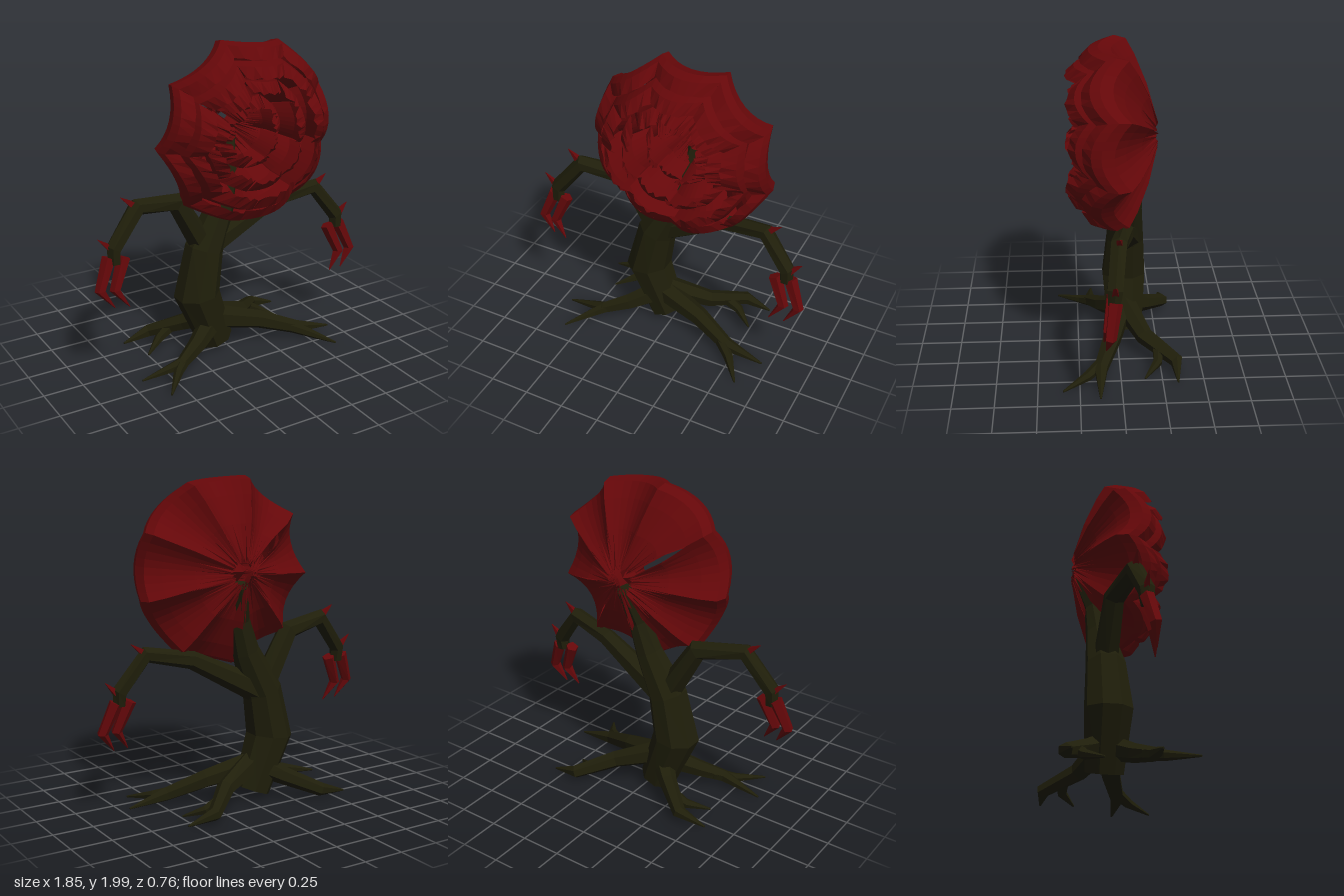
import * as THREE from 'three';

const V = (a) => new THREE.Vector3(...a);

// Faceted limb: points are [x, y, z, radius]; rings joined and capped
function limbGeometry(points, sides = 6) {
  const pos = [], index = [];
  const centres = points.map((p) => V(p));
  const last = points.length - 1;
  centres.forEach((c, i) => {
    const t = centres[Math.min(i + 1, last)].clone().sub(centres[Math.max(i - 1, 0)]).normalize();
    const n = new THREE.Vector3(0, 0, 1).addScaledVector(t, -t.z).normalize();
    const b = t.clone().cross(n);
    for (let s = 0; s < sides; s++) {
      const a = ((s + 0.5) / sides) * Math.PI * 2, r = points[i][3];
      const p = c.clone().addScaledVector(n, Math.cos(a) * r).addScaledVector(b, Math.sin(a) * r);
      pos.push(p.x, Math.max(p.y, 0), p.z);
      if (i < last) {
        const A = i * sides + s, B = i * sides + (s + 1) % sides;
        index.push(A, B, A + sides, B, B + sides, A + sides);
      }
    }
  });
  // end caps
  const start = pos.length / 3;
  pos.push(...centres[0].toArray(), ...centres[last].toArray());
  for (let s = 0; s < sides; s++) {
    const n = (s + 1) % sides;
    index.push(start, n, s, start + 1, last * sides + s, last * sides + n);
  }
  const g = new THREE.BufferGeometry();
  g.setAttribute('position', new THREE.Float32BufferAttribute(pos, 3));
  g.setIndex(index);
  g.computeVertexNormals();
  return g;
}

// One petal pointing along +y: straight across in front, sagging forward in the middle.
// "pinch" gives how far its left and right sides draw in near the base
function petalGeometry(profile, pinch, vary, seed) {
  const cols = 8, rows = profile.length - 1;
  const g = new THREE.PlaneGeometry(1, 1, cols, rows);
  const p = g.attributes.position;
  const stretch = vary * Math.sin(seed * 2.3);
  for (let j = 0; j <= rows; j++) {
    for (let i = 0; i <= cols; i++) {
      const u = (i / cols) * 2 - 1;
      let [r, z] = profile[j];
      const half = r * Math.tan(Math.PI / 9) * (1 - pinch[u < 0 ? 0 : 1] * Math.max(0, 1 - r / 0.42));
      z += 0.18 * r * (1 - u * u);
      // uneven tips and ragged base
      if (j === rows) {
        const k = stretch + vary * 0.6 * Math.sin(i * 2.4 + seed);
        r += k;
        z += k * 0.6;
      }
      if (j === 0) r += 0.02 * Math.sin(i * 2.1 + seed);
      p.setXYZ(j * (cols + 1) + i, u * half, r, z);
    }
  }
  g.computeVertexNormals();
  return g;
}

export function createModel() {
  const model = new THREE.Group();
  const bark = new THREE.MeshStandardMaterial({ color: 0x1f1e0a, flatShading: true });
  bark.name = 'dark bark';
  const red = new THREE.MeshStandardMaterial({ color: 0x640709, flatShading: true, side: THREE.DoubleSide });
  red.name = 'deep red';

  const add = (parent, name, geometry, material) => {
    const m = new THREE.Mesh(geometry, material);
    m.name = name;
    parent.add(m);
    return m;
  };

  // Trunk
  add(model, 'trunk', limbGeometry([
    [-0.06, 0.06, -0.05, 0.115], [-0.19, 0.4, -0.047, 0.145], [-0.13, 0.69, -0.055, 0.122],
    [0.0, 0.95, -0.07, 0.085], [0.06, 1.15, -0.09, 0.066], [0.1, 1.37, -0.17, 0.055],
  ], 8), bark);

  // Roots: each has a main prong and a side prong
  const roots = {
    frontLeftRoot: [
      [[-0.08, 0.22, -0.03, 0.08], [0.22, 0.15, 0.04, 0.06], [0.45, 0.07, 0.12, 0.045], [0.7, 0.02, 0.13, 0.006]],
      [[0.38, 0.09, 0.09, 0.04], [0.5, 0.05, 0.2, 0.03], [0.61, 0.015, 0.35, 0.006]]],
    frontRightRoot: [
      [[-0.1, 0.2, -0.02, 0.075], [-0.27, 0.12, 0.09, 0.055], [-0.42, 0.07, 0.17, 0.04], [-0.68, 0.02, 0.155, 0.006]],
      [[-0.36, 0.09, 0.13, 0.04], [-0.47, 0.05, 0.22, 0.03], [-0.6, 0.015, 0.38, 0.006]]],
    backLeftRoot: [
      [[-0.05, 0.23, -0.05, 0.075], [0.2, 0.14, -0.16, 0.055], [0.39, 0.07, -0.345, 0.042], [0.56, 0.03, -0.34, 0.006]],
      [[0.28, 0.11, -0.24, 0.04], [0.38, 0.06, -0.23, 0.03], [0.49, 0.015, -0.145, 0.006]]],
    backRightRoot: [
      [[-0.09, 0.22, -0.06, 0.075], [-0.22, 0.15, -0.18, 0.055], [-0.4, 0.07, -0.32, 0.042], [-0.58, 0.03, -0.31, 0.006]],
      [[-0.29, 0.11, -0.23, 0.04], [-0.38, 0.06, -0.21, 0.03], [-0.5, 0.015, -0.12, 0.006]]],
  };
  for (const [name, prongs] of Object.entries(roots)) {
    const g = new THREE.Group();
    g.name = name;
    prongs.forEach((p, i) => add(g, i ? 'sideProng' : 'mainProng', limbGeometry(p), bark));
    model.add(g);
  }

  // Arms with thorns and two bent claws each
  const arms = [
    { name: 'rightArm',
      limb: [[-0.13, 0.7, -0.06, 0.08], [-0.33, 1.04, -0.04, 0.065], [-0.62, 1.085, 0.025, 0.055], [-0.79, 0.87, 0.055, 0.05], [-0.79, 0.78, 0.06, 0.04]],
      thorns: [[-0.64, 1.1, 0.025, -0.72, 1.16, 0.02], [-0.8, 0.87, 0.05, -0.885, 0.945, 0.05]],
      claws: [[-0.82, 0.82, 0.05, -1], [-0.73, 0.81, 0.06, -1]] },
    { name: 'leftArm',
      limb: [[-0.12, 0.68, -0.07, 0.085], [0.35, 0.925, -0.03, 0.055], [0.63, 0.98, 0.02, 0.052], [0.79, 0.77, 0.05, 0.05], [0.79, 0.69, 0.055, 0.04]],
      thorns: [[0.64, 0.99, 0.02, 0.725, 1.05, 0.02], [0.81, 0.77, 0.05, 0.88, 0.835, 0.05]],
      claws: [[0.72, 0.71, 0.06, 1], [0.815, 0.71, 0.05, 1]] },
  ];
  for (const arm of arms) {
    const g = new THREE.Group();
    g.name = arm.name;
    add(g, 'branch', limbGeometry(arm.limb), bark);
    arm.thorns.forEach((t) => add(g, 'thorn',
      limbGeometry([[t[0], t[1], t[2], 0.028], [t[3], t[4], t[5], 0.002]], 4), red));
    arm.claws.forEach(([x, y, z, s]) => add(g, 'claw', limbGeometry([
      [x, y, z, 0.042], [x + s * 0.075, y - 0.185, z + 0.03, 0.034], [x - s * 0.005, y - 0.3, z + 0.05, 0.003],
    ], 5), red));
    model.add(g);
  }

  // Flower head: four nested rings of nine cupped petals, profile points are [radius, z]
  const head = new THREE.Group();
  head.name = 'flowerHead';
  head.position.set(0.098, 1.442, 0);
  const rings = [
    { name: 'outerPetal', turn: 0, vary: 0.008,
      profile: [[0.08, -0.23], [0.28, -0.17], [0.44, -0.1], [0.525, -0.05], [0.543, 0.02], [0.525, 0.08], [0.46, 0.14]] },
    { name: 'middlePetal', turn: 2, vary: 0.016,
      profile: [[0.08, -0.215], [0.3, -0.12], [0.43, 0.0], [0.45, 0.11], [0.43, 0.18], [0.36, 0.24]] },
    { name: 'innerPetal', turn: -2, vary: 0.018,
      profile: [[0.08, -0.205], [0.24, -0.1], [0.32, 0.05], [0.33, 0.15], [0.26, 0.235]] },
    { name: 'heartPetal', turn: 2, vary: 0.018,
      profile: [[0.08, -0.195], [0.18, -0.07], [0.22, 0.06], [0.15, 0.16]] },
  ];
  rings.forEach((ring, k) => {
    for (let i = 0; i < 9; i++) {
      // a wide slit opens between the second and third petals
      const pinch = [i === 1 ? 0.75 : 0.12, i === 2 ? 0.75 : 0.12];
      const petal = add(head, ring.name, petalGeometry(ring.profile, pinch, ring.vary, i + k * 3), red);
      petal.rotation.z = THREE.MathUtils.degToRad(-5 + ring.turn + i * 40);
    }
  });
  // Small floating core
  add(head, 'core', new THREE.OctahedronGeometry(0.065), red).position.set(0, 0.008, -0.13);
  model.add(head);
  return model;
}
